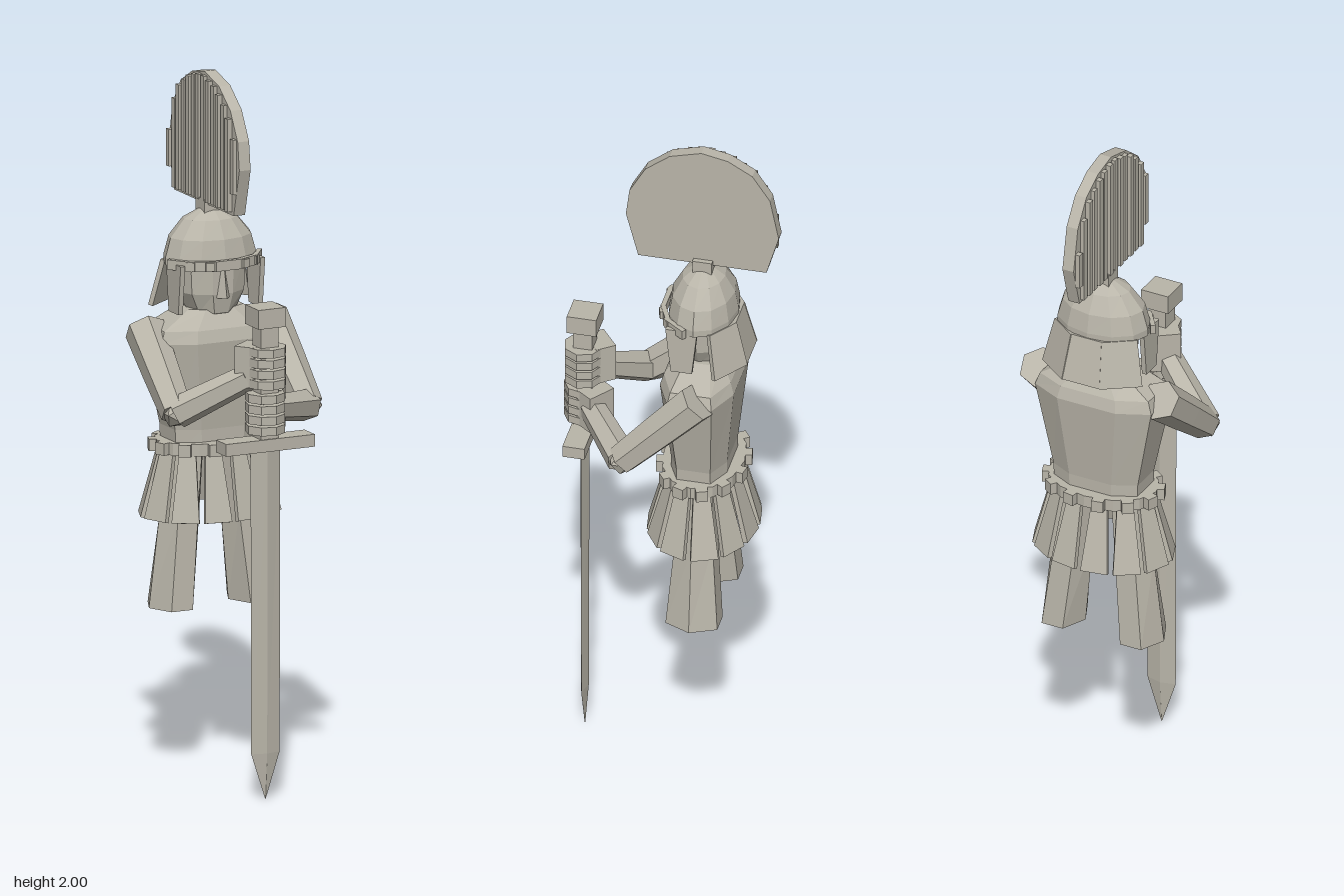
import * as THREE from 'three';

const stone = new THREE.MeshStandardMaterial({ color: 0xb9b5a9 });
stone.name = 'stone grey';
const CZ = -0.095; // body axis depth

// faceted mesh with hard normals
function add(parent, name, geo, x = 0, y = 0, z = 0) {
  const g = geo.index ? geo.toNonIndexed() : geo;
  g.computeVertexNormals();
  const m = new THREE.Mesh(g, stone);
  m.name = name;
  m.position.set(x, y, z);
  parent.add(m);
  return m;
}
const box = (w, h, d) => new THREE.BoxGeometry(w, h, d);

// unit polygon running from the front towards +x
const ngon = (n, off = 0) => Array.from({ length: n }, (_, i) => {
  const a = (i / n) * Math.PI * 2 + off;
  return [Math.sin(a), Math.cos(a)];
});

// closed body from horizontal sections [y, cx, cz, rx, rz], bottom to top
function loft(sections, poly) {
  const n = poly.length, pos = [], idx = [];
  for (const [y, cx, cz, rx, rz] of sections)
    for (const [px, pz] of poly) pos.push(cx + px * rx, y, cz + pz * rz);
  const last = (sections.length - 1) * n;
  for (let s = 0; s < last; s += n)
    for (let i = 0; i < n; i++) {
      const j = (i + 1) % n;
      idx.push(s + i, s + j, s + n + j, s + i, s + n + j, s + n + i);
    }
  for (let i = 1; i < n - 1; i++) idx.push(0, i + 1, i, last, last + i, last + i + 1);
  const g = new THREE.BufferGeometry();
  g.setAttribute('position', new THREE.Float32BufferAttribute(pos, 3));
  g.setIndex(idx);
  return g;
}

// hanging plate, pivot at its top edge, with different top and bottom widths
function plate(wTop, wBot, h, d) {
  const g = box(1, h, d).translate(0, -h / 2, 0), p = g.attributes.position;
  for (let i = 0; i < p.count; i++) p.setX(i, p.getX(i) * (p.getY(i) < -h / 2 ? wBot : wTop));
  return g;
}

// mesh placed on an ellipse round the body axis, facing outwards
function onRing(parent, name, geo, a, rx, rz, y, tilt = 0) {
  const m = add(parent, name, geo, rx * Math.sin(a), y, CZ + rz * Math.cos(a));
  m.rotation.set(-tilt, Math.atan2(Math.sin(a) / rx, Math.cos(a) / rz), 0, 'YXZ');
  return m;
}

// six-sided limb between two points
function limb(parent, name, from, to, r1, r2) {
  const a = new THREE.Vector3(...from), b = new THREE.Vector3(...to);
  const m = add(parent, name, new THREE.CylinderGeometry(r2, r1, a.distanceTo(b), 6));
  m.position.copy(a).add(b).multiplyScalar(0.5);
  m.quaternion.setFromUnitVectors(new THREE.Vector3(0, 1, 0), b.sub(a).normalize());
}

function part(root, name) {
  const g = new THREE.Group();
  g.name = name;
  root.add(g);
  return g;
}

function buildCrest(root) {
  const crest = part(root, 'crest');
  // outline as [z, y]
  const pts = [[0.09, 1.625], [0.125, 1.76], [0.115, 1.84], [0.07, 1.92], [0, 1.975], [-0.09, 2],
    [-0.165, 1.985], [-0.235, 1.945], [-0.285, 1.87], [-0.31, 1.745], [-0.275, 1.625]];
  const shape = new THREE.Shape(pts.map(([z, y]) => new THREE.Vector2(z, y)));
  const geo = new THREE.ExtrudeGeometry(shape, { depth: 0.035, bevelEnabled: false });
  add(crest, 'crestPlate', geo.rotateY(-Math.PI / 2), 0.015);
  const topAt = (z) => {
    for (let i = 1; i < pts.length - 2; i++) {
      const [z0, y0] = pts[i], [z1, y1] = pts[i + 1];
      if (z <= z0 && z >= z1 && z0 > z1) return y0 + (y1 - y0) * (z0 - z) / (z0 - z1);
    }
    return 1.76;
  };
  // upright bristles on one side
  for (let i = 0; i < 14; i++) {
    const z = 0.1 - i * 0.03;
    const top = Math.min(topAt(z + 0.009), topAt(z - 0.009)) - 0.005;
    const low = z > 0.085 || z < -0.27 ? 1.69 : 1.635;
    add(crest, 'bristle', box(i % 2 ? 0.015 : 0.011, top - low, 0.018), -0.026, (top + low) / 2, z);
  }
  add(crest, 'crestHolder', box(0.06, 0.05, 0.055), 0, 1.615, CZ);
}

function buildHead(root) {
  const head = part(root, 'head');
  add(head, 'face', loft([[1.26, 0, CZ, 0.06, 0.055], [1.31, 0, CZ, 0.06, 0.06], [1.325, 0, CZ, 0.07, 0.075],
    [1.38, 0, CZ, 0.1, 0.085], [1.48, 0, CZ, 0.105, 0.085]], ngon(10, Math.PI / 10)));
  add(head, 'nose', loft([[1.37, 0, -0.015, 0.02, 0.025], [1.45, 0, -0.02, 0.01, 0.015]], ngon(4)));
  const helmet = part(root, 'helmet');
  add(helmet, 'dome', loft([[1.46, 0, CZ, 0.138, 0.098], [1.48, 0, CZ, 0.138, 0.098], [1.535, 0, CZ, 0.122, 0.088],
    [1.585, 0, CZ, 0.08, 0.06], [1.61, 0, CZ, 0.03, 0.025]], ngon(12)));
  // brow band with studs
  for (let i = -2; i <= 2; i++) {
    onRing(helmet, 'browBand', box(0.077, 0.028, 0.014), i * 0.52, 0.138, 0.108, 1.468);
    if (i) onRing(helmet, 'browStud', box(0.024, 0.024, 0.012), i * 0.4, 0.14, 0.118, 1.468);
  }
  // cheek guards
  for (const s of [-1, 1]) {
    const g = add(helmet, 'cheekGuard', plate(0.09, 0.06, 0.14, 0.014), s * 0.124, 1.47, -0.06);
    g.rotation.y = s * Math.PI / 2;
  }
  // neck guard
  for (let i = -1; i <= 1; i++)
    onRing(helmet, 'neckGuard', plate(0.1, 0.12, 0.135, 0.014), Math.PI + i * 0.75, 0.125, 0.095, 1.465, 0.25);
}

function buildBody(root) {
  const body = part(root, 'body');
  const chest = [[-0.5, 1], [0.5, 1], [1, 0.6], [1, -0.6], [0.5, -1], [-0.5, -1], [-1, -0.6], [-1, 0.6]];
  add(body, 'torso', loft([[0.93, 0, CZ, 0.13, 0.08], [1, 0, CZ, 0.132, 0.08], [1.25, 0, CZ, 0.182, 0.105],
    [1.285, 0, CZ, 0.17, 0.095], [1.335, 0, CZ, 0.085, 0.06]], chest));
  add(body, 'belt', loft([[0.93, 0, CZ, 0.165, 0.115], [0.965, 0, CZ, 0.165, 0.115]], ngon(12)));
  // studded belt and flared skirt straps
  for (let i = 0; i < 12; i++) {
    const a = (i + 0.5) * Math.PI / 6;
    onRing(body, 'beltStud', box(0.034, 0.034, 0.024), a, 0.168, 0.118, 0.948);
    onRing(body, 'skirtStrap', plate(0.045, 0.078, 0.205, 0.014), a, 0.145, 0.095, 0.945, 0.26);
  }
  for (const s of [-1, 1])
    add(body, 'leg', loft([[0.49, s * 0.123, CZ, 0.066, 0.085], [0.75, s * 0.095, CZ, 0.062, 0.062],
      [0.95, s * 0.07, CZ, 0.05, 0.05]], ngon(6, Math.PI / 6)));
}

function buildArm(root, s, elbow, wrist, handY) {
  const arm = part(root, s > 0 ? 'leftArm' : 'rightArm');
  const shoulder = [s * 0.19, 1.28, -0.12];
  const mid = shoulder.map((v, i) => v + (elbow[i] - v) * 0.5);
  limb(arm, 'sleeve', shoulder, mid, 0.058, 0.053);
  limb(arm, 'upperArm', mid, elbow, 0.053, 0.046);
  add(arm, 'elbow', new THREE.IcosahedronGeometry(0.043, 0), ...elbow);
  limb(arm, 'forearm', elbow, wrist, 0.046, 0.038);
  // fist wrapped round the grip
  const hand = part(arm, 'hand');
  hand.position.set(0, handY, 0.245);
  hand.rotation.y = -s * 0.65;
  add(hand, 'palm', box(0.085, 0.115, 0.06), 0, 0, -0.045);
  for (let i = 0; i < 4; i++)
    add(hand, 'finger', new THREE.CylinderGeometry(0.056, 0.056, 0.024, 8), 0, (i - 1.5) * 0.03, 0.004);
}

function buildSword(root) {
  const sword = part(root, 'sword');
  const z = 0.245;
  add(sword, 'blade', loft([[0, 0, z, 0.001, 0.001], [0.13, 0, z, 0.044, 0.011], [1, 0, z, 0.046, 0.013]], ngon(4)));
  add(sword, 'guard', box(0.275, 0.035, 0.063), 0, 1.01, z);
  add(sword, 'grip', box(0.054, 0.34, 0.054), 0, 1.19, z);
  add(sword, 'pommel', box(0.084, 0.055, 0.084), 0, 1.373, z);
}

export function createModel() {
  const root = new THREE.Group();
  root.name = 'swordGuard';
  buildCrest(root);
  buildHead(root);
  buildBody(root);
  buildArm(root, 1, [0.207, 1.065, 0.09], [0.04, 1.1, 0.215], 1.1);
  buildArm(root, -1, [-0.207, 1.09, 0.11], [-0.04, 1.195, 0.215], 1.23);
  buildSword(root);
  return root;
}
